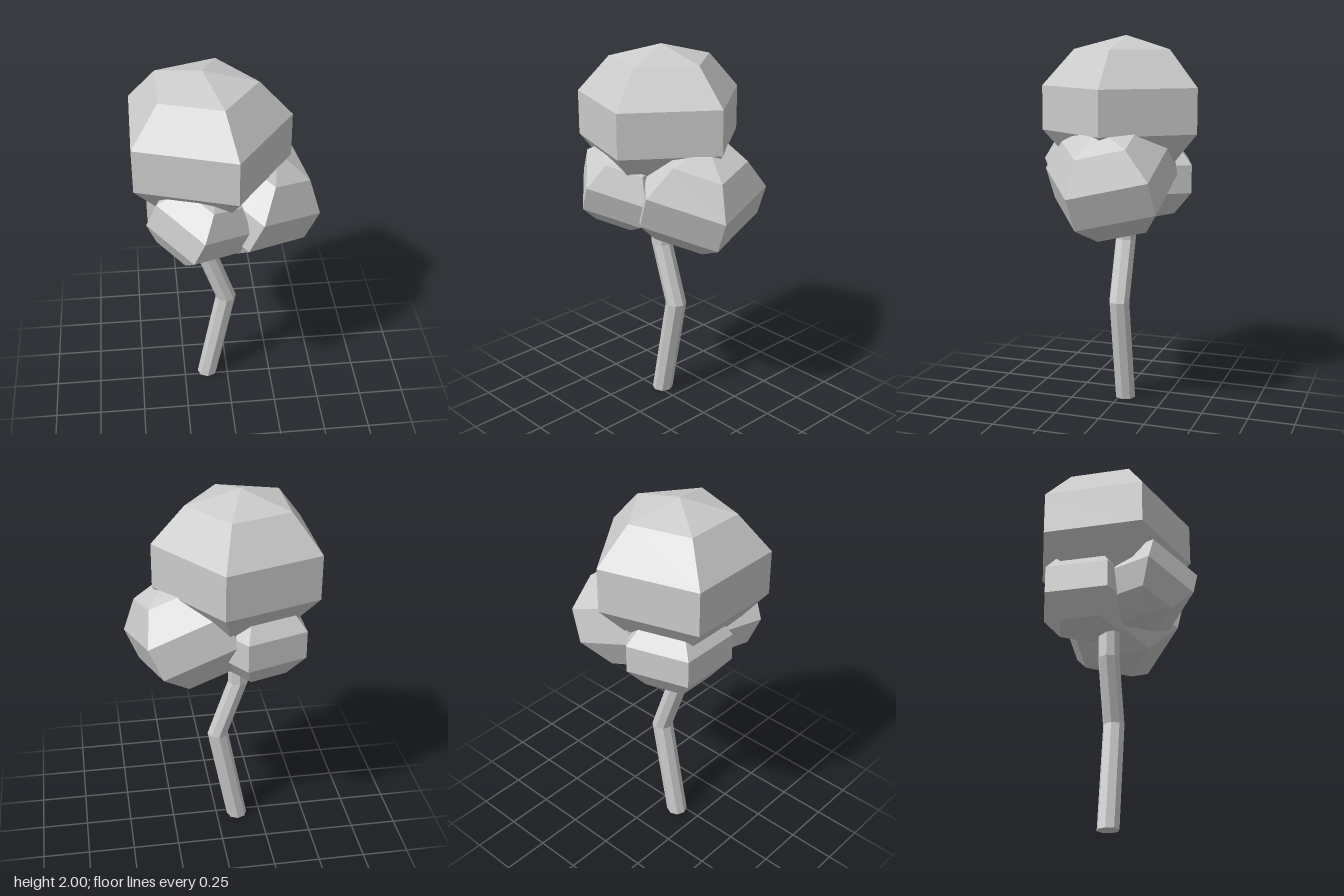
import * as THREE from 'three';

const material = new THREE.MeshStandardMaterial({ color: 0xcccccc, flatShading: true });

// Squashed five-sided leaf clump, with a corner facing its own +x
function makeClump(name, radius, position, rotation) {
  const geometry = new THREE.SphereGeometry(radius, 5, 5);
  geometry.rotateY(Math.PI);
  geometry.scale(1, 0.81, 1);
  const clump = new THREE.Mesh(geometry, material);
  clump.name = name;
  clump.position.set(...position);
  if (rotation) clump.quaternion.copy(rotation);
  return clump;
}

// Bent trunk: rings of a cylinder shifted onto the joints
function makeTrunk() {
  const joints = [[-0.117, 0], [-0.005, 0.58], [-0.117, 0.91], [-0.117, 1.3]]; // x, y
  const geometry = new THREE.CylinderGeometry(0.057, 0.057, 3, 8, 3);
  const points = geometry.attributes.position;
  for (let i = 0; i < points.count; i++) {
    const [x, y] = joints[Math.round(points.getY(i) + 1.5)];
    points.setXYZ(i, points.getX(i) + x, y, points.getZ(i) - 0.03);
  }
  geometry.computeVertexNormals();
  const trunk = new THREE.Mesh(geometry, material);
  trunk.name = 'trunk';
  return trunk;
}

export function createModel() {
  const tree = new THREE.Group();
  tree.name = 'tree';

  // Shared lean of the two tilted clumps
  const up = new THREE.Vector3(0.39, 0.914, 0.109).normalize();
  const front = new THREE.Vector3(0.858, -0.396, 0.328).cross(up).normalize();
  const side = new THREE.Vector3().crossVectors(up, front);
  const lean = new THREE.Quaternion().setFromRotationMatrix(
    new THREE.Matrix4().makeBasis(side, up, front));

  tree.add(
    makeTrunk(),
    makeClump('topFoliage', 0.47, [-0.117, 1.62, -0.03]),
    makeClump('backFoliage', 0.297, [-0.19, 1.254, -0.13]),
    makeClump('leftFoliage', 0.37, [0.139, 1.264, -0.035], lean),
    makeClump('frontFoliage', 0.281, [-0.161, 1.288, 0.183], lean),
  );
  return tree;
}
